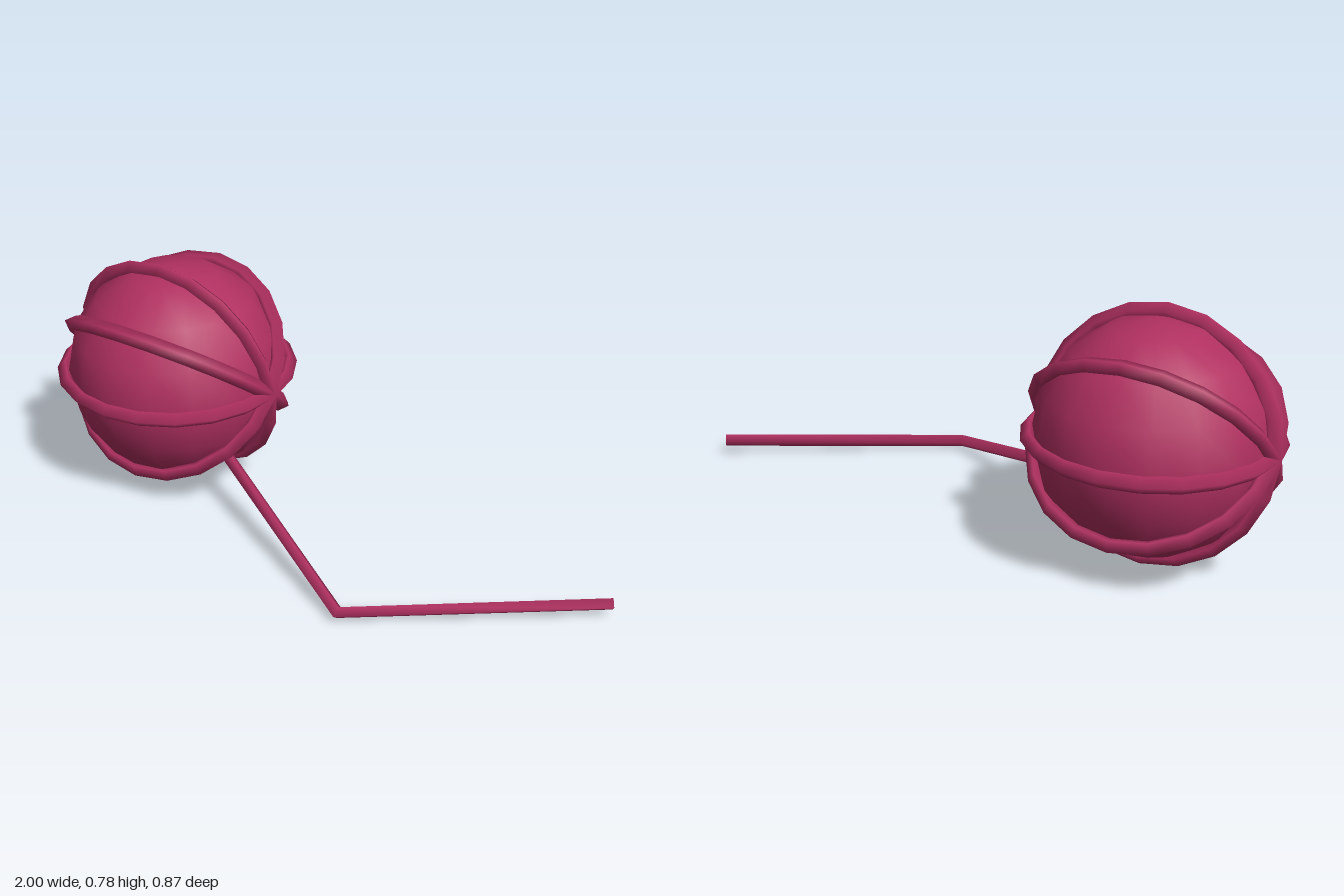
import * as THREE from 'three';

// Four-sided strand swept through a list of points, mitred at the bends and capped at both ends
function strandGeometry(points, radius) {
  const up = new THREE.Vector3(0, 1, 0);
  const rings = points.map((p, i) => {
    const before = points[Math.max(i - 1, 0)];
    const after = points[Math.min(i + 1, points.length - 1)];
    const dirIn = p.clone().sub(i ? before : after).multiplyScalar(i ? 1 : -1).normalize();
    const dirOut = i < points.length - 1 ? after.clone().sub(p).normalize() : dirIn;
    const tangent = dirIn.clone().add(dirOut).normalize();
    const side = tangent.clone().cross(up).normalize();
    const top = side.clone().cross(tangent).normalize();
    const stretch = radius / tangent.dot(dirOut);
    return [0, 1, 2, 3].map((k) => {
      const a = (k * Math.PI) / 2;
      return p.clone()
        .addScaledVector(side, Math.cos(a) * stretch)
        .addScaledVector(top, Math.sin(a) * radius);
    });
  });

  const positions = [];
  const indices = [];
  const addRing = (ring) => {
    const first = positions.length / 3;
    ring.forEach((v) => positions.push(v.x, v.y, v.z));
    return first;
  };
  // Sides
  const starts = rings.map(addRing);
  for (let i = 0; i < rings.length - 1; i++) {
    for (let k = 0; k < 4; k++) {
      const n = (k + 1) % 4;
      const a = starts[i] + k, b = starts[i] + n;
      const c = starts[i + 1] + k, d = starts[i + 1] + n;
      indices.push(a, c, b, b, c, d);
    }
  }
  // Caps
  const s = addRing(rings[0]);
  const e = addRing(rings[rings.length - 1]);
  indices.push(s, s + 1, s + 2, s, s + 2, s + 3);
  indices.push(e, e + 2, e + 1, e, e + 3, e + 2);

  const geometry = new THREE.BufferGeometry();
  geometry.setAttribute('position', new THREE.Float32BufferAttribute(positions, 3));
  geometry.setIndex(indices);
  geometry.computeVertexNormals();
  return geometry;
}

export function createModel() {
  const model = new THREE.Group();
  model.name = 'yarnBall';
  const yarn = new THREE.MeshStandardMaterial({ color: 0xb03060, side: THREE.DoubleSide });
  yarn.name = 'raspberry yarn';

  // Ball with its wound strands
  const ball = new THREE.Group();
  ball.name = 'ball';
  ball.position.set(-0.605, 0.393, -0.04);
  model.add(ball);

  const core = new THREE.Mesh(new THREE.SphereGeometry(0.36, 16, 8), yarn);
  core.name = 'core';
  ball.add(core);

  // All strands cross at the two ends of the x axis
  const ringGeometry = new THREE.TorusGeometry(0.369, 0.026, 4, 20);
  [90, 50, 10, -40].forEach((degrees, i) => {
    const ring = new THREE.Mesh(ringGeometry, yarn);
    ring.name = `woundStrand${i + 1}`;
    ring.rotation.x = THREE.MathUtils.degToRad(degrees);
    ball.add(ring);
  });

  // Loose end trailing on the ground
  const tail = new THREE.Mesh(
    strandGeometry([
      new THREE.Vector3(-0.42, 0.2, 0.02),
      new THREE.Vector3(0.305, 0.028, 0.41),
      new THREE.Vector3(0.988, 0.052, -0.04),
    ], 0.021),
    yarn
  );
  tail.name = 'looseTail';
  model.add(tail);

  return model;
}
